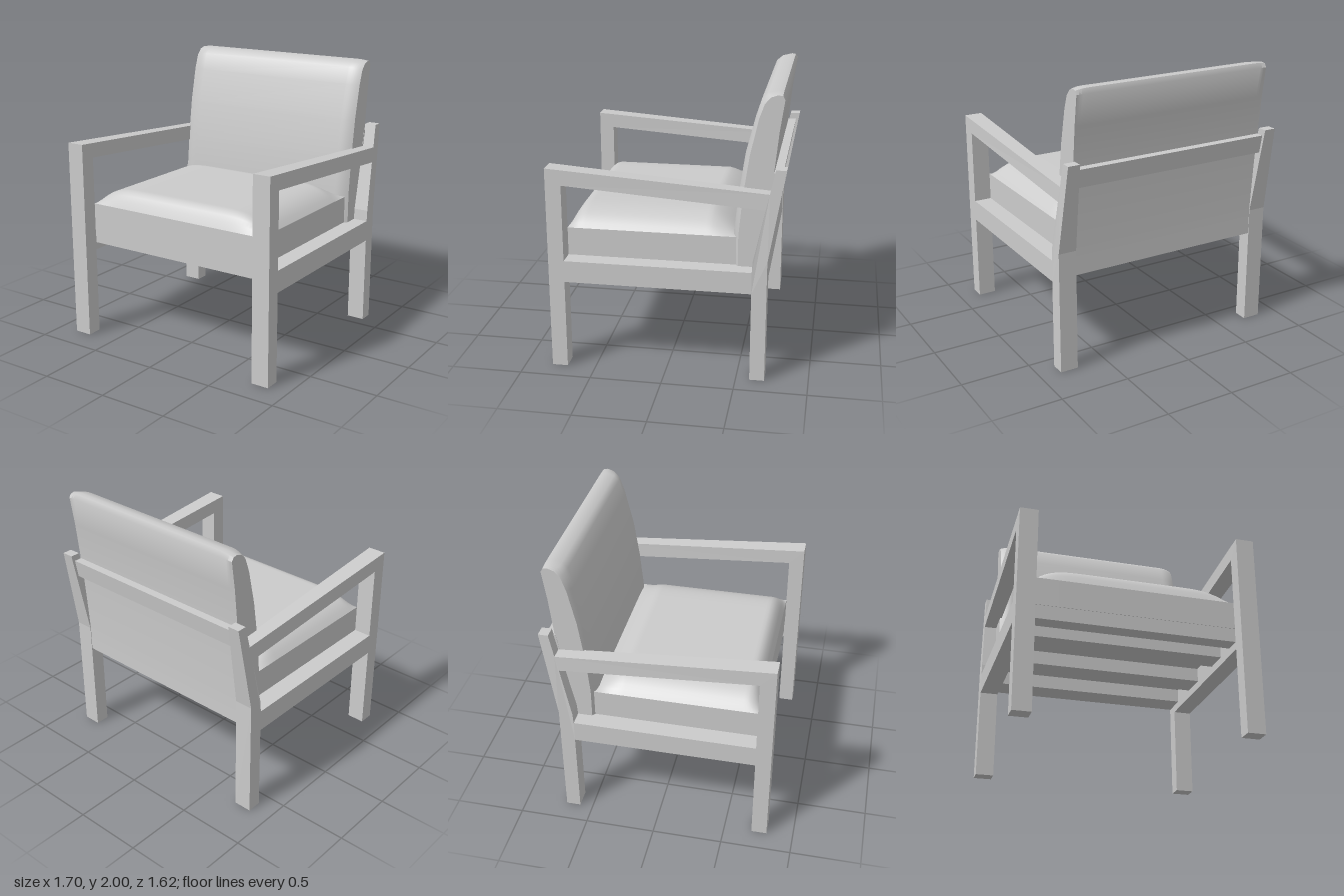
import * as THREE from 'three';
import { toCreasedNormals } from 'three/addons/utils/BufferGeometryUtils.js';

const material = new THREE.MeshStandardMaterial({ color: 0xcccccc });

function part(group, name, geometry) {
  const mesh = new THREE.Mesh(geometry, material);
  mesh.name = name;
  group.add(mesh);
  return mesh;
}

// Points are [z, y]; the shape is turned so its depth runs along x.
const toVectors = (pts) => pts.map(([z, y]) => new THREE.Vector2(-z, y));

// Extrude a [z, y] profile; span(z, y) returns the x range at each point.
function sideways(outline, hole, span) {
  const shape = new THREE.Shape(toVectors(outline));
  if (hole) shape.holes.push(new THREE.Path(toVectors(hole)));
  const geo = new THREE.ExtrudeGeometry(shape, { depth: 1, bevelEnabled: false });
  geo.rotateY(Math.PI / 2);
  const p = geo.attributes.position;
  for (let i = 0; i < p.count; i++) {
    const [a, b] = span(p.getZ(i), p.getY(i));
    p.setX(i, p.getX(i) < 0.5 ? a : b);
  }
  geo.computeVertexNormals();
  return geo;
}

// Legs, arm and side rail in one frame; the rear post narrows upward.
function sideFrame(side) {
  const outline = [[0.81, 0], [0.81, 1.46], [-0.7, 1.35], [-0.735, 1.515], [-0.805, 1.515],
    [-0.698, 0.88], [-0.698, 0], [-0.595, 0], [-0.595, 0.645], [0.7, 0.645], [0.7, 0]];
  // The opening runs the other way round, so its walls face inward
  const hole = [[-0.595, 0.8], [-0.6, 0.88], [-0.675, 1.24], [0.7, 1.345], [0.7, 0.8]];
  return sideways(outline, hole, (z, y) => {
    const t = z < -0.55 ? THREE.MathUtils.clamp((y - 0.88) / 0.635, 0, 1) : 0;
    const inner = 0.72 + 0.02 * t, outer = 0.85 - 0.025 * t;
    return side > 0 ? [inner, outer] : [-outer, -inner];
  });
}

// Seat cushion: a box with a domed top, sharp where the top meets the walls.
function seatCushion() {
  const geo = new THREE.BoxGeometry(1.44, 0.2, 1.18, 48, 1, 48);
  geo.translate(0, 0.9, 0.11);
  const p = geo.attributes.position;
  const ease = (u, power) => 1 - Math.pow(1 - THREE.MathUtils.clamp(u, 0, 1), power);
  for (let i = 0; i < p.count; i++) {
    if (p.getY(i) < 0.95) continue;
    const x = p.getX(i), z = p.getZ(i);
    const rise = ease((0.72 - Math.abs(x)) / 0.46, 4.5)
      * ease((0.7 - z) / 0.11, 2.3) * ease((z + 0.48) / 0.2, 1.4);
    p.setY(i, 1 + 0.12 * rise);
  }
  geo.computeVertexNormals();
  return geo;
}

// Back cushion: rings across x, blended from the flat side to the full crown.
function backCushion() {
  const back = [[-0.775, 1.96], [-0.745, 1.75], [-0.72, 1.5], [-0.705, 1.2], [-0.694, 0.9], [-0.694, 0.8]];
  const edge = [[-0.49, 0.8], [-0.49, 1.02], [-0.515, 1.3], [-0.555, 1.58], [-0.61, 1.83],
    [-0.645, 1.93], [-0.685, 1.975], [-0.73, 1.99], [-0.76, 1.985], ...back];
  const crown = [[-0.45, 0.8], [-0.45, 1.02], [-0.478, 1.3], [-0.52, 1.58], [-0.582, 1.83],
    [-0.62, 1.95], [-0.66, 1.985], [-0.73, 2], [-0.76, 1.995], ...back];
  const half = 0.743, steps = 6, n = edge.length, pos = [], index = [], stations = [];
  for (let i = 0; i <= steps; i++) stations.push([-half + 0.1 * i / steps, 1 - (1 - i / steps) ** 2]);
  for (let i = steps; i >= 0; i--) stations.push([half - 0.1 * i / steps, 1 - (1 - i / steps) ** 2]);
  for (const [x, t] of stations) {
    edge.forEach(([z, y], j) => pos.push(x,
      THREE.MathUtils.lerp(y, crown[j][1], t), THREE.MathUtils.lerp(z, crown[j][0], t)));
  }
  const last = stations.length - 1, capA = stations.length * n, capB = capA + 1;
  pos.push(-half, 1.35, -0.62, half, 1.35, -0.62);
  for (let j = 0; j < n; j++) {
    const k = (j + 1) % n;
    for (let i = 0; i < last; i++) {
      const a = i * n, b = a + n;
      index.push(a + j, b + j, b + k, a + j, b + k, a + k);
    }
    index.push(capA, j, k, capB, last * n + k, last * n + j);
  }
  const geo = new THREE.BufferGeometry();
  geo.setAttribute('position', new THREE.Float32BufferAttribute(pos, 3));
  geo.setIndex(index);
  return toCreasedNormals(geo, 0.6);
}

export function createModel() {
  const chair = new THREE.Group();
  chair.name = 'armchair';

  part(chair, 'leftFrame', sideFrame(1));
  part(chair, 'rightFrame', sideFrame(-1));
  part(chair, 'seatCushion', seatCushion());
  part(chair, 'backCushion', backCushion());

  // Cross rails and slats under the seat: [name, rear z, front z]
  const rails = [['rearRail', -0.694, -0.5], ['rearSlat', -0.25, -0.05],
    ['frontSlat', 0.24, 0.42], ['frontRail', 0.58, 0.697]];
  for (const [name, z0, z1] of rails) {
    part(chair, name, new THREE.BoxGeometry(1.45, 0.1, z1 - z0)).position.set(0, 0.75, (z0 + z1) / 2);
  }

  // Bar behind the back cushion, leaning with the rear posts
  part(chair, 'backBar', sideways(
    [[-0.69, 1.34], [-0.71, 1.47], [-0.777, 1.47], [-0.757, 1.34]], null, () => [-0.745, 0.745]));
  return chair;
}
